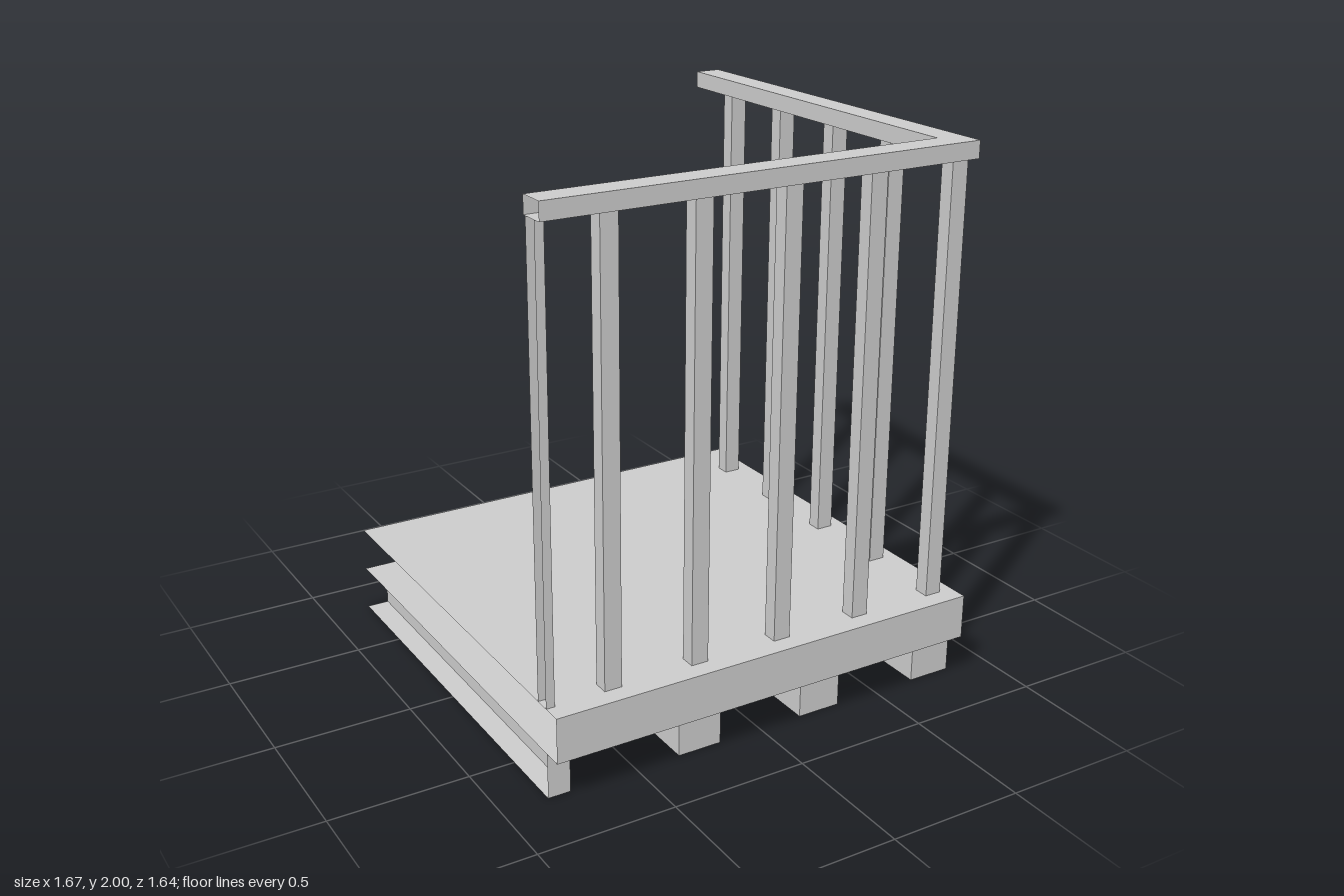
import * as THREE from 'three';

const SIDES = ['+x', '-x', '+y', '-y', '+z', '-z']; // face order of BoxGeometry

// Thin-walled box between two corners, with the listed sides left open
function shell(name, [x0, y0, z0], [x1, y1, z1], open, material) {
  const geometry = new THREE.BoxGeometry(x1 - x0, y1 - y0, z1 - z0);
  const index = Array.from(geometry.index.array);
  geometry.setIndex(index.filter((_, i) => !open.includes(SIDES[Math.floor(i / 6)])));
  geometry.clearGroups();
  geometry.translate((x0 + x1) / 2, (y0 + y1) / 2, (z0 + z1) / 2);
  const mesh = new THREE.Mesh(geometry, material);
  mesh.name = name;
  return mesh;
}

export function createModel() {
  const model = new THREE.Group();
  model.name = 'balconyCorner';
  const material = new THREE.MeshStandardMaterial({ color: 0xcccccc, side: THREE.DoubleSide });

  const X = 0.833, Z = 0.818;                    // half extents of the deck
  const yJoist = 0.167, yDeck = 0.333, yRail = 1.938, yTop = 2;
  const add = (parent, name, a, b, open) => parent.add(shell(name, a, b, open, material));
  const group = (name) => {
    const g = new THREE.Group();
    g.name = name;
    model.add(g);
    return g;
  };

  // Deck slab, cut open at the back and on the -x side
  add(model, 'deck', [-X, yJoist, -Z], [X, yDeck, Z], ['-x', '-z']);

  // Joists under the deck; the one at the cut side is halved and open
  const joists = group('joists');
  for (const [x0, x1] of [[-X, -0.75], [-0.333, -0.167], [0.167, 0.333], [0.667, X]]) {
    const open = x0 === -X ? ['+y', '-z', '-x'] : ['+y', '-z'];
    add(joists, 'joist', [x0, 0, -Z], [x1, yJoist, 0.748], open);
  }

  // L-shaped handrail with open cut ends
  const rail = group('handrail');
  const xi = 0.697, xo = 0.797, zi = 0.68, zo = 0.78;
  add(rail, 'frontRail', [-X, yRail, zi], [xi, yTop, zo], ['+x', '-x']);
  add(rail, 'cornerRail', [xi, yRail, zi], [xo, yTop, zo], ['-x', '-z']);
  add(rail, 'sideRail', [xi, yRail, -Z], [xo, yTop, zi], ['+z', '-z']);

  // Balusters along the front and the +x side, sharing the corner one
  const balusters = group('balusters');
  const w = 0.064, d = 0.056, step = 0.333, cx = 0.746, cz = 0.72;
  const baluster = (x0, x1, z, open = []) =>
    add(balusters, 'baluster', [x0, yDeck, z - d / 2], [x1, yRail, z + d / 2], ['+y', '-y', ...open]);
  for (let i = 0; i < 5; i++) {
    const x = cx - i * step;
    baluster(x - w / 2, x + w / 2, cz);
    if (i > 0) baluster(cx - w / 2, cx + w / 2, cz - i * step);
  }
  // Half baluster at the cut end
  baluster(-X, -0.801, cz, ['-x']);

  return model;
}
